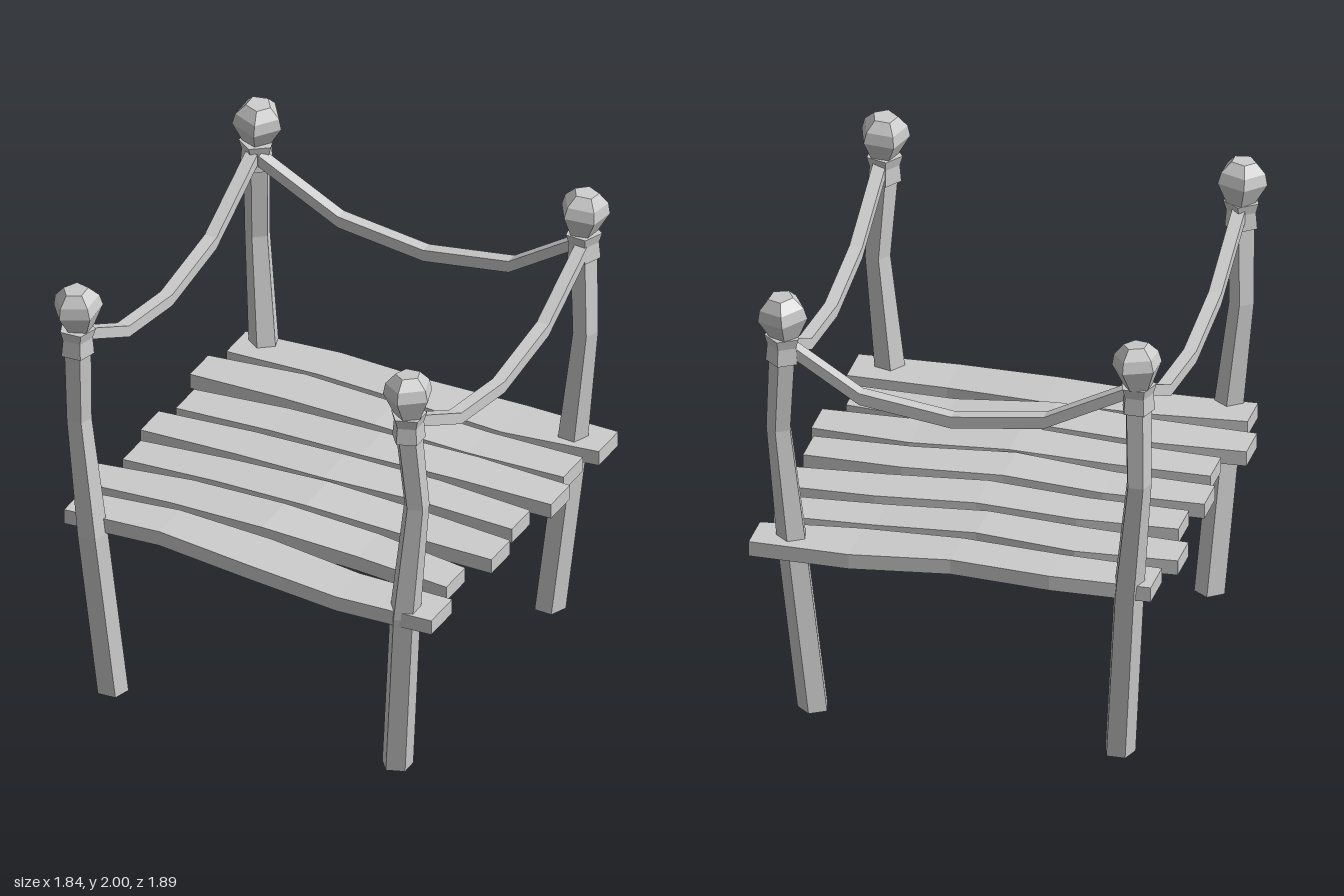
import * as THREE from 'three';

const material = new THREE.MeshStandardMaterial({ color: 0xcccccc, flatShading: true });

// Closed solid through a list of equal-sized rings (counter-clockwise seen from the end)
function loft(name, rings) {
  const pos = [];
  const tri = (...pts) => pts.forEach(p => pos.push(...p));
  const n = rings[0].length;
  for (let i = 0; i < rings.length - 1; i++) {
    for (let j = 0; j < n; j++) {
      const k = (j + 1) % n;
      const a = rings[i][j], b = rings[i][k], c = rings[i + 1][k], d = rings[i + 1][j];
      tri(a, b, c);
      tri(a, c, d);
    }
  }
  const first = rings[0], last = rings[rings.length - 1];
  for (let j = 1; j < n - 1; j++) {
    tri(first[0], first[j + 1], first[j]);
    tri(last[0], last[j], last[j + 1]);
  }
  const geo = new THREE.BufferGeometry();
  geo.setAttribute('position', new THREE.Float32BufferAttribute(pos, 3));
  geo.computeVertexNormals();
  const mesh = new THREE.Mesh(geo, material);
  mesh.name = name;
  return mesh;
}

// Five-sided ring around a vertical axis
function pentagon(x, y, z, r, phase) {
  return Array.from({ length: 5 }, (_, i) => {
    const a = phase + i * Math.PI * 2 / 5;
    return [x + r * Math.cos(a), y, z - r * Math.sin(a)];
  });
}

// Rectangular ring across a beam that runs along x
const rect = (x, y0, y1, z0, z1) => [[x, y0, z1], [x, y0, z0], [x, y1, z0], [x, y1, z1]];

// Post centre lines: x and z at each of the heights below, then the turn of the pentagon
const heights = [0, 0.8, 1.35, 1.72];
const radii = [0.069, 0.068, 0.056, 0.06];
const posts = [
  { name: 'frontLeftPost', x: [0.66, 0.735, 0.79, 0.77], z: [0.71, 0.79, 0.79, 0.825], phase: 0.65 },
  { name: 'frontRightPost', x: [-0.675, -0.73, -0.79, -0.78], z: [0.71, 0.79, 0.795, 0.83], phase: 0.35 },
  { name: 'backLeftPost', x: [0.66, 0.735, 0.79, 0.765], z: [-0.71, -0.765, -0.78, -0.815], phase: 1.5 },
  { name: 'backRightPost', x: [-0.675, -0.73, -0.79, -0.78], z: [-0.755, -0.82, -0.875, -0.85], phase: 2.2 },
];

function makePost({ name, x, z, phase }, index) {
  const group = new THREE.Group();
  group.name = name;
  group.add(loft('shaft', heights.map((y, i) => pentagon(x[i], y, z[i], radii[i], phase))));

  // Collar with a pinched waist
  const cx = x[3], cz = z[3];
  group.add(loft('collar', [[1.69, 0.074], [1.765, 0.067], [1.81, 0.08]]
    .map(([y, r]) => pentagon(cx, y, cz, r, phase))));

  // Faceted knob, leaning a little
  const knob = loft('knob', [[-0.095, 0.062], [0, 0.11], [0.05, 0.098], [0.095, 0.055]]
    .map(([y, r]) => pentagon(0, y, 0, r, phase + 0.3)));
  knob.position.set(cx, 1.9, cz - 0.005);
  knob.rotation.set(index % 2 ? 0.08 : -0.06, 0, index < 2 ? 0.06 : -0.08);
  group.add(knob);
  return group;
}

// Planks: x ends, back edge z, front edge z, and centre height at five stations
const planks = [
  { ends: [-0.84, 0.90], back: [-0.86, -0.88, -0.85, -0.88, -0.87], front: [-0.68, -0.68, -0.65, -0.64, -0.69], y: [0.82, 0.825, 0.825, 0.805, 0.80] },
  { ends: [-0.89, 0.86], back: [-0.61, -0.65, -0.61, -0.61, -0.62], front: [-0.44, -0.435, -0.41, -0.42, -0.44], y: [0.825, 0.83, 0.835, 0.81, 0.80] },
  { ends: [-0.82, 0.92], back: [-0.34, -0.375, -0.365, -0.39, -0.38], front: [-0.17, -0.18, -0.16, -0.19, -0.205], y: [0.825, 0.83, 0.84, 0.825, 0.81] },
  { ends: [-0.87, 0.87], back: [-0.11, -0.135, -0.12, -0.135, -0.11], front: [0.06, 0.06, 0.09, 0.055, 0.06], y: [0.83, 0.835, 0.85, 0.835, 0.82] },
  { ends: [-0.83, 0.90], back: [0.135, 0.11, 0.105, 0.10, 0.135], front: [0.305, 0.30, 0.32, 0.31, 0.31], y: [0.83, 0.84, 0.85, 0.825, 0.815] },
  { ends: [-0.92, 0.82], back: [0.38, 0.335, 0.345, 0.335, 0.395], front: [0.55, 0.54, 0.56, 0.54, 0.57], y: [0.83, 0.84, 0.85, 0.815, 0.80] },
  { ends: [-0.86, 0.885], back: [0.62, 0.575, 0.59, 0.64, 0.645], front: [0.79, 0.77, 0.82, 0.855, 0.84], y: [0.84, 0.84, 0.825, 0.805, 0.80] },
];

function makePlank({ ends, back, front, y }) {
  return loft('plank', y.map((h, i) => {
    const x = ends[0] + (ends[1] - ends[0]) * i / 4;
    return rect(x, h - 0.034, h + 0.034, back[i], front[i]);
  }));
}

// Sagging rope of square section, built along x
function makeRope(name, points) {
  return loft(name, points.map(([x, y]) => rect(x, y - 0.027, y + 0.027, -0.028, 0.028)));
}

export function createModel() {
  const model = new THREE.Group();
  model.name = 'ropedPlatform';

  posts.forEach((post, i) => model.add(makePost(post, i)));

  const deck = new THREE.Group();
  deck.name = 'deck';
  planks.forEach(plank => deck.add(makePlank(plank)));
  model.add(deck);

  const backRope = makeRope('backRope',
    [[-0.74, 1.755], [-0.37, 1.56], [0.03, 1.505], [0.43, 1.56], [0.73, 1.75]]);
  backRope.position.z = -0.81;
  model.add(backRope);

  // Side ropes run front to back
  for (const side of [-1, 1]) {
    const rope = makeRope(side > 0 ? 'leftRope' : 'rightRope',
      [[-0.79, 1.755], [-0.41, 1.555], [0, 1.5], [0.4, 1.565], [0.79, 1.765]]);
    rope.rotation.y = -Math.PI / 2;
    rope.position.x = side * 0.778;
    model.add(rope);
  }
  return model;
}
